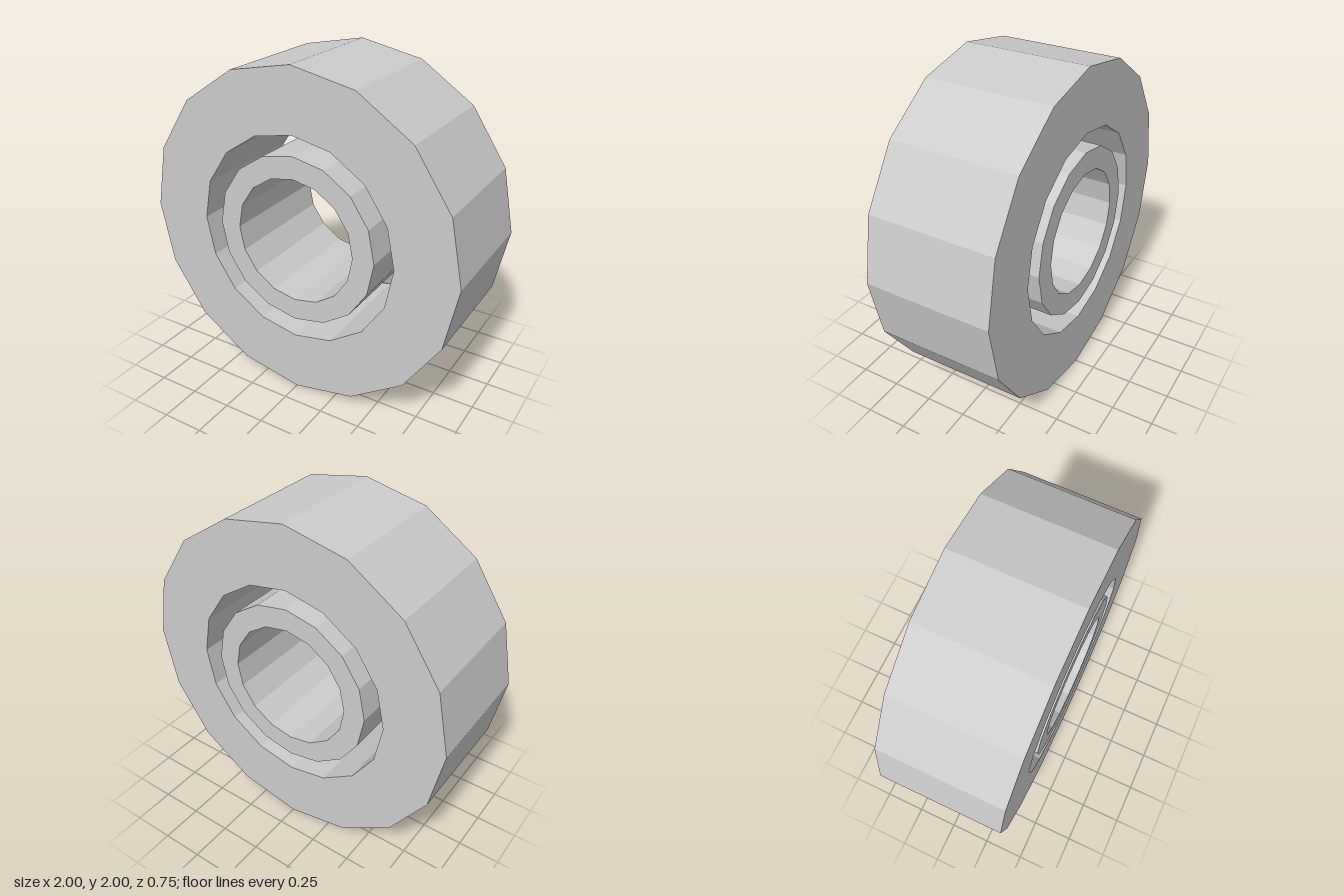
import * as THREE from 'three';

const SIDES = 16;
const DEPTH = 0.75;

// Corners of a regular polygon, anticlockwise, with a corner at the top
function polygon(radius) {
  return Array.from({ length: SIDES }, (_, i) => {
    const a = (i / SIDES) * Math.PI * 2;
    return new THREE.Vector2(Math.cos(a) * radius, Math.sin(a) * radius);
  });
}

// Faceted ring, open along z
function ring(name, outerRadius, innerRadius, material) {
  const shape = new THREE.Shape(polygon(outerRadius));
  shape.holes.push(new THREE.Path(polygon(innerRadius)));
  const geometry = new THREE.ExtrudeGeometry(shape, { depth: DEPTH, bevelEnabled: false });
  geometry.translate(0, 1, -DEPTH / 2);
  const mesh = new THREE.Mesh(geometry, material);
  mesh.name = name;
  return mesh;
}

export function createModel() {
  const model = new THREE.Group();
  model.name = 'concentricRings';
  const grey = new THREE.MeshStandardMaterial({ color: 0xcccccc, flatShading: true });
  model.add(
    ring('outerRing', 1, 0.627, grey),
    ring('innerRing', 0.51, 0.378, grey),
  );
  return model;
}
